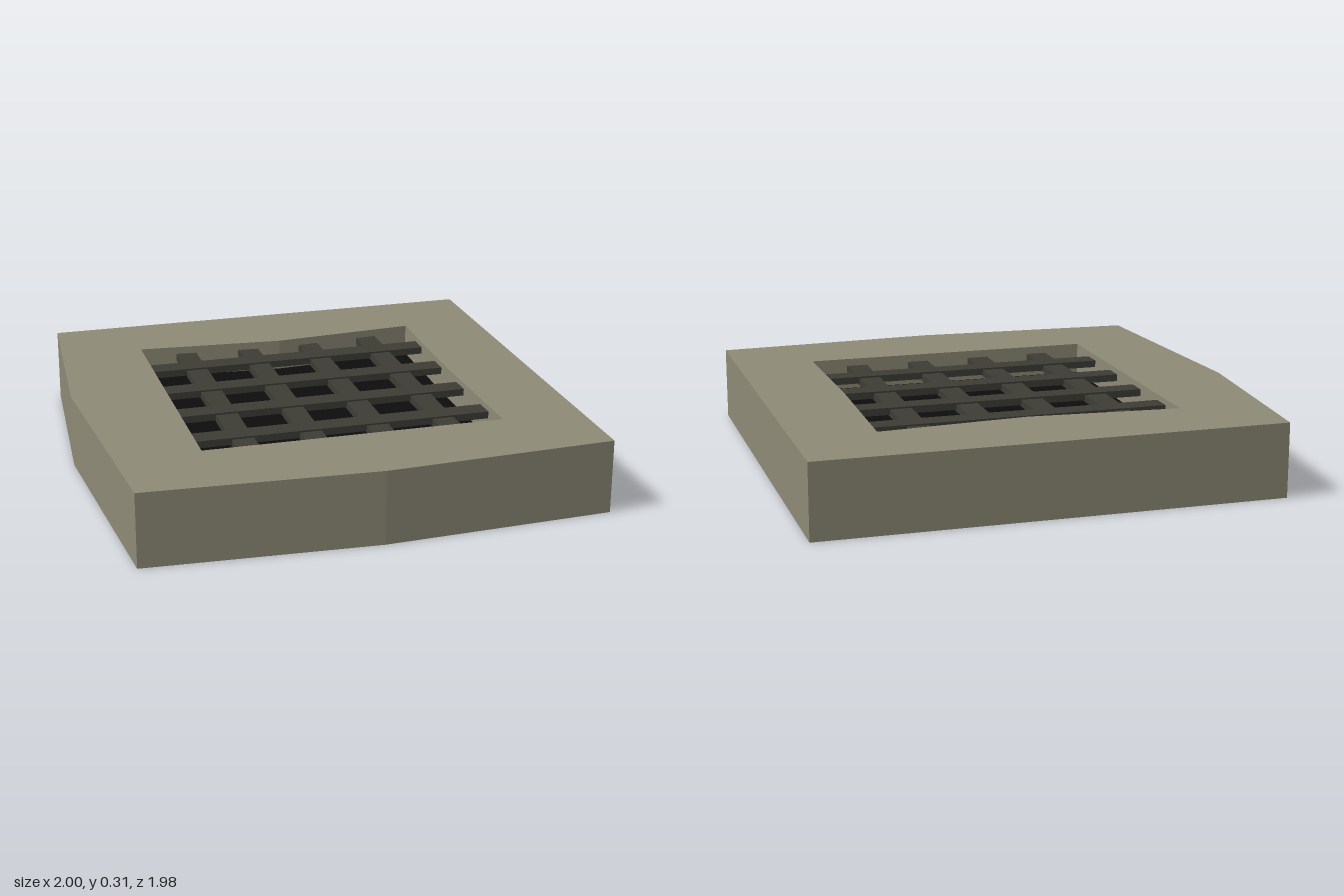
import * as THREE from 'three';

const TOP = 0.31, FLOOR = 0.175;

// outlines as [x, z], counterclockwise seen from above
const OUTER = [[-0.93, 0.94], [0.035, 0.99], [1, 0.94], [1, -0.99], [-0.93, -0.99], [-1, -0.13]];
const HOLE = [[-0.6, 0.6], [0.66, 0.6], [0.65, -0.03], [0.66, -0.655], [0.035, -0.605], [-0.6, -0.655]];

// closed band of upright flat faces along an outline
function band(points, y0, y1) {
  const pos = [];
  points.forEach(([ax, az], i) => {
    const [bx, bz] = points[(i + 1) % points.length];
    pos.push(ax, y0, az, bx, y0, bz, bx, y1, bz, ax, y0, az, bx, y1, bz, ax, y1, az);
  });
  const g = new THREE.BufferGeometry();
  g.setAttribute('position', new THREE.Float32BufferAttribute(pos, 3));
  g.computeVertexNormals();
  return g;
}

const outline = (points) => points.map(([x, z]) => new THREE.Vector2(x, -z));

export function createModel() {
  const group = new THREE.Group();
  const stone = new THREE.MeshStandardMaterial({ color: 0x8e8a77, side: THREE.DoubleSide });
  stone.name = 'stone';
  const iron = new THREE.MeshStandardMaterial({ color: 0x3d3d36 });
  iron.name = 'iron';
  const black = new THREE.MeshStandardMaterial({ color: 0x0d0d0d, side: THREE.DoubleSide });
  black.name = 'black';

  const add = (name, geometry, material) => {
    const mesh = new THREE.Mesh(geometry, material);
    mesh.name = name;
    group.add(mesh);
    return mesh;
  };

  // hollow frame, open underneath
  const shape = new THREE.Shape(outline(OUTER));
  shape.holes.push(new THREE.Path(outline(HOLE)));
  add('frameTop', new THREE.ShapeGeometry(shape).rotateX(-Math.PI / 2), stone).position.y = TOP;
  add('frameSides', band(OUTER, 0, TOP), stone);
  add('shaftWalls', band([...HOLE].reverse(), FLOOR, TOP), stone);

  // dark floor of the shaft
  const floor = add('shaftFloor', new THREE.PlaneGeometry(1.26, 1.255).rotateX(-Math.PI / 2), black);
  floor.position.set(0.03, FLOOR, -0.0275);

  // grate: crosswise bars lie slightly above the lengthwise ones
  for (let i = 0; i < 4; i++) {
    add('lengthwiseBar', new THREE.BoxGeometry(0.092, 0.03, 1.265), iron)
      .position.set(-0.395 + i * 0.284, 0.263, -0.0275);
    add('crossBar', new THREE.BoxGeometry(1.268, 0.03, 0.092), iron)
      .position.set(0.03, 0.27, -0.455 + i * 0.284);
  }
  return group;
}
